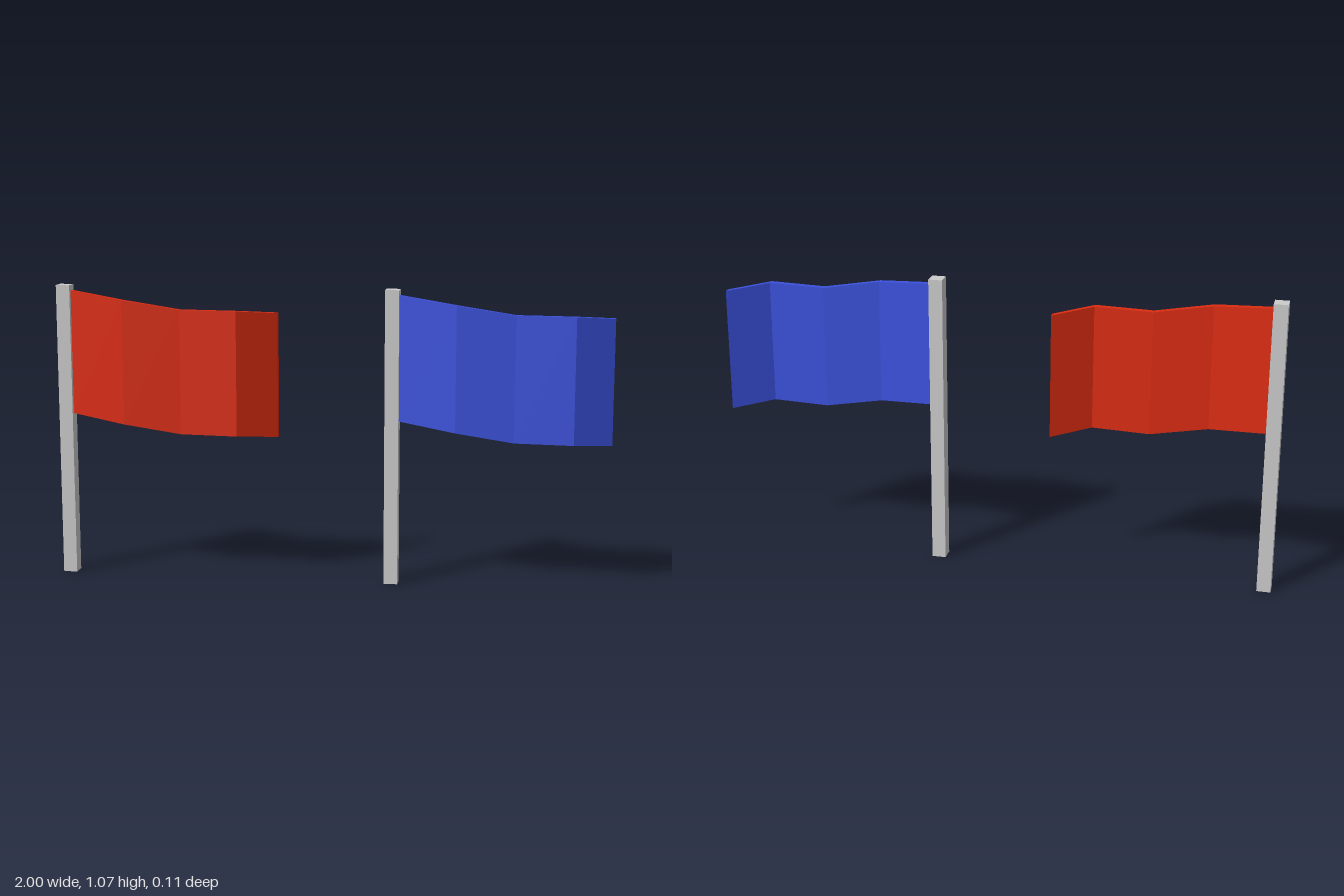
import * as THREE from 'three';

// Flag folds from pole to free end: [x from pole's outer edge, top y, middle z]
const folds = [
  [0.05, 1.046, -0.017],
  [0.256, 1.02, 0.046],
  [0.462, 0.987, 0.031],
  [0.67, 0.987, 0.046],
  [0.804, 0.973, -0.045],
];
const flagHeight = 0.45, thickness = 0.023;
const poleHeight = 1.066, poleWidth = 0.05;

// A subdivided slab whose columns are moved onto the folds
function flagGeometry() {
  const n = folds.length - 1;
  const geo = new THREE.BoxGeometry(n, flagHeight, thickness, n, 1, 1);
  const p = geo.attributes.position;
  for (let i = 0; i < p.count; i++) {
    const [x, top, z] = folds[Math.round(p.getX(i) + n / 2)];
    p.setXYZ(i, x, top - flagHeight / 2 + p.getY(i), z + p.getZ(i));
  }
  const flat = geo.toNonIndexed();
  flat.computeVertexNormals();
  return flat;
}

function makeFlag(name, color, x) {
  const group = new THREE.Group();
  group.name = name;
  group.position.x = x;

  // Square pole
  const pole = new THREE.Mesh(
    new THREE.BoxGeometry(poleWidth, poleHeight, 0.052),
    new THREE.MeshStandardMaterial({ color: 0xcccccc, flatShading: true }));
  pole.name = 'pole';
  pole.position.set(poleWidth / 2, poleHeight / 2, -0.016);

  // Waving cloth
  const cloth = new THREE.Mesh(
    flagGeometry(),
    new THREE.MeshStandardMaterial({ color, flatShading: true }));
  cloth.name = 'cloth';

  group.add(pole, cloth);
  return group;
}

export function createModel() {
  const model = new THREE.Group();
  model.name = 'flags';
  model.add(makeFlag('redFlag', 0xd92b10, -1), makeFlag('blueFlag', 0x3a50d9, 0.196));
  return model;
}
